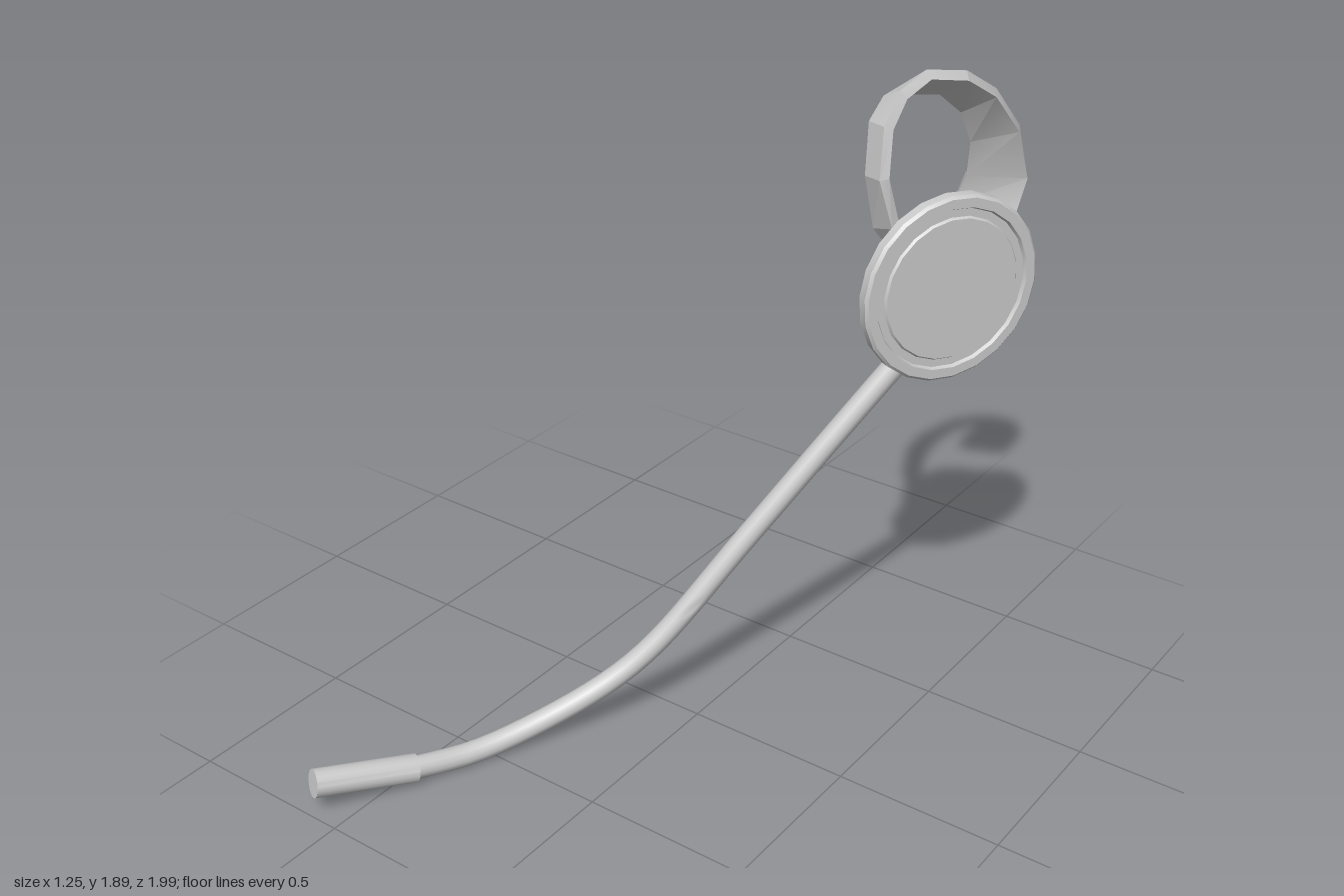
import * as THREE from 'three';
import { toCreasedNormals } from 'three/addons/utils/BufferGeometryUtils.js';

const V = (x, y, z) => new THREE.Vector3(x, y, z);
const material = new THREE.MeshStandardMaterial({ color: 0xcccccc });

function part(name, geometry, crease = 0.6) {
  const mesh = new THREE.Mesh(toCreasedNormals(geometry, crease), material);
  mesh.name = name;
  return mesh;
}

const lathe = (profile, sides) =>
  new THREE.LatheGeometry(profile.map(([r, h]) => new THREE.Vector2(r, h)), sides);

// Closed cylinder between two points
function rod(name, a, b, radius, sides) {
  const dir = b.clone().sub(a);
  const mesh = part(name, new THREE.CylinderGeometry(radius, radius, dir.length(), sides));
  mesh.position.copy(a).lerp(b, 0.5);
  mesh.quaternion.setFromUnitVectors(V(0, 1, 0), dir.normalize());
  return mesh;
}

// Thick band lofted through pairs of outer edge points, thickened inwards
function bandGeometry(pairs, thickness) {
  const mid = pairs.map(([a, b]) => a.clone().lerp(b, 0.5));
  const rings = pairs.map(([a, b], i) => {
    const tangent = mid[Math.min(i + 1, mid.length - 1)].clone().sub(mid[Math.max(i - 1, 0)]);
    const inward = tangent.cross(b.clone().sub(a)).setLength(thickness);
    return [a, b, b.clone().add(inward), a.clone().add(inward)];
  });
  const index = [0, 2, 1, 0, 3, 2];
  for (let i = 0; i < rings.length - 1; i++) {
    for (let j = 0; j < 4; j++) {
      const p = i * 4 + j, q = i * 4 + (j + 1) % 4;
      index.push(p, q, q + 4, p, q + 4, p + 4);
    }
  }
  const e = (rings.length - 1) * 4;
  index.push(e, e + 1, e + 2, e, e + 2, e + 3);
  const geometry = new THREE.BufferGeometry().setFromPoints(rings.flat());
  geometry.setIndex(index);
  return geometry;
}

export function createModel() {
  const model = new THREE.Group();

  // Earpiece: stepped round disc with the ear bud on its inner side
  const earpiece = new THREE.Group();
  earpiece.name = 'earpiece';
  earpiece.position.set(0.473, 1.33, -0.503);
  earpiece.quaternion.setFromUnitVectors(V(0, 1, 0), V(0.875, 0, 0.484).normalize());
  earpiece.add(part('disc', lathe([
    [0, -0.022], [0.262, -0.022], [0.27, -0.014], [0.27, 0.014], [0.262, 0.022],
    [0.235, 0.022], [0.23, 0.012], [0.208, 0.012], [0.203, 0.019], [0, 0.019],
  ], 22), 0.5));
  earpiece.add(part('earBud', lathe([
    [0, -0.19], [0.09, -0.183], [0.135, -0.17], [0.155, -0.145], [0.16, -0.11], [0.16, 0],
  ], 22), 0.8));
  model.add(earpiece);

  // Boom: straight arm that bends forward to the mouth
  const bendStart = V(-0.09, 0.27, 0.09), micStart = V(-0.457, 0.055, 0.72);
  const path = new THREE.CatmullRomCurve3([
    V(0.415, 1.2, -0.53), V(0.24, 0.88, -0.316), V(0.08, 0.583, -0.118), bendStart,
    V(-0.18, 0.16, 0.2), V(-0.31, 0.065, 0.4), V(-0.39, 0.038, 0.56), micStart,
  ]);
  model.add(part('boom', new THREE.TubeGeometry(path, 40, 0.033, 14), 1));

  // Microphone capsule at the tip
  model.add(rod('microphone', micStart, V(-0.59, 0.105, 0.98), 0.041, 18));

  // Ear hook: faceted band that widens towards its tail
  const hook = [
    [V(0.37, 1.36, -0.46), V(0.43, 1.38, -0.48)],
    [V(0.30, 1.50, -0.38), V(0.37, 1.52, -0.36)],
    [V(0.28, 1.65, -0.36), V(0.345, 1.66, -0.325)],
    [V(0.255, 1.78, -0.41), V(0.325, 1.79, -0.37)],
    [V(0.255, 1.83, -0.48), V(0.322, 1.865, -0.45)],
    [V(0.275, 1.84, -0.57), V(0.335, 1.895, -0.56)],
    [V(0.295, 1.81, -0.70), V(0.38, 1.865, -0.70)],
    [V(0.31, 1.73, -0.81), V(0.41, 1.79, -0.82)],
    [V(0.31, 1.62, -0.88), V(0.435, 1.66, -0.93)],
    [V(0.29, 1.50, -0.91), V(0.44, 1.50, -0.995)],
    [V(0.255, 1.40, -0.91), V(0.42, 1.38, -0.985)],
    [V(0.25, 1.33, -0.895), V(0.40, 1.32, -0.96)],
  ];
  model.add(part('earHook', bandGeometry(hook, 0.03), 0.25));

  return model;
}
